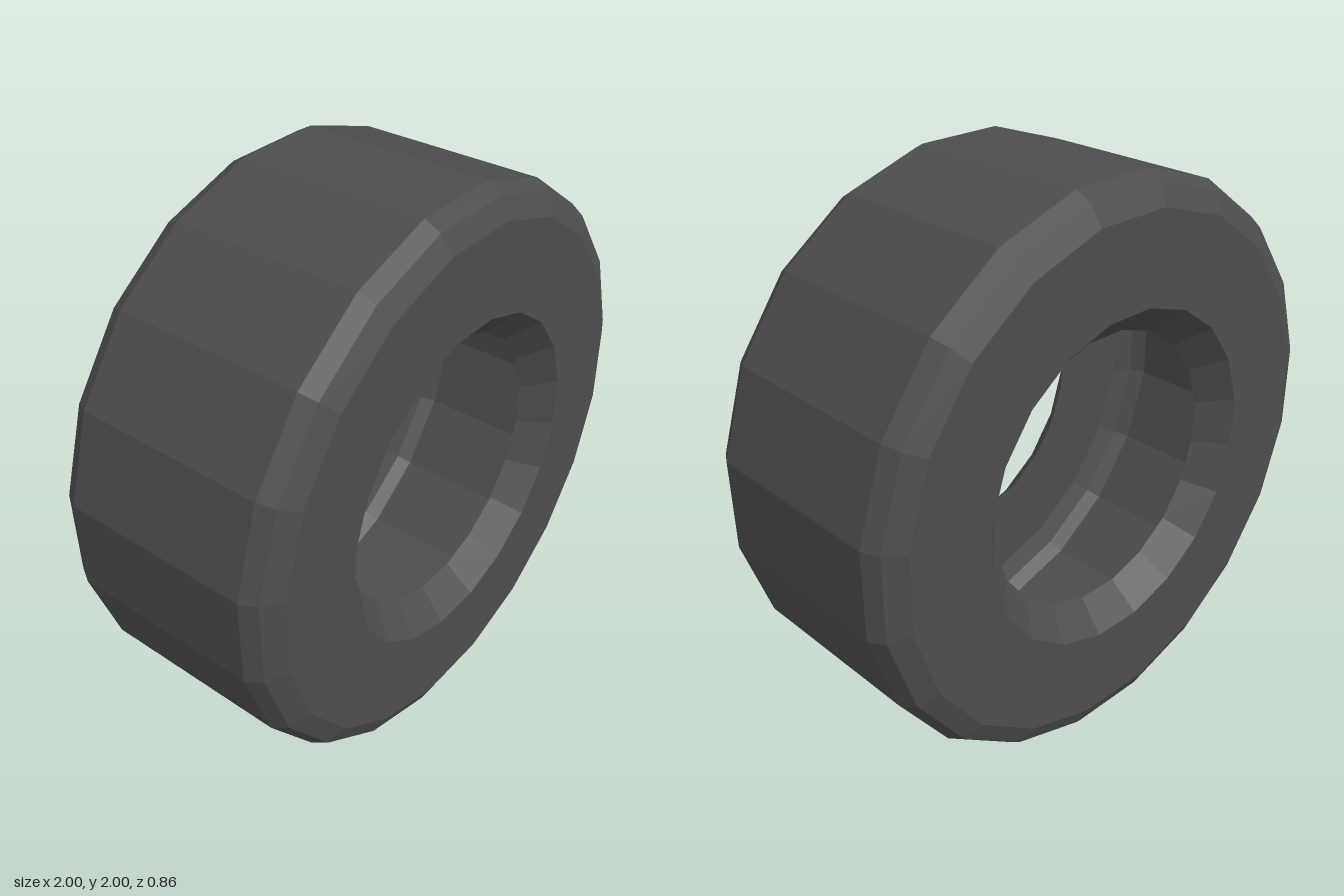
import * as THREE from 'three';

const SIDES = 20;

export function createModel() {
  const group = new THREE.Group();
  group.name = 'tire';

  // Half of the hollow cross-section: [distance from axle to flat, z]
  const half = [
    [1.0, 0.34], [0.97, 0.395], [0.9, 0.43], // tread shoulder
    [0.587, 0.43], [0.487, 0.33],            // sidewall and sloped rim lip
    [0.8, 0.33], [0.87, 0.3], [0.9, 0.25],   // inside of the hollow
  ];
  const mirrored = half.map(([r, z]) => [r, -z]).reverse();
  const toCorner = 1 / Math.cos(Math.PI / SIDES);
  const profile = [...half, ...mirrored, half[0]]
    .map(([r, z]) => new THREE.Vector2(r * toCorner, z));

  // Flats face straight up, down and sideways
  const geometry = new THREE.LatheGeometry(profile, SIDES, Math.PI / SIDES);
  geometry.rotateX(Math.PI / 2);
  const material = new THREE.MeshStandardMaterial({ color: 0x4d4d4d, flatShading: true });
  const tire = new THREE.Mesh(geometry, material);
  tire.name = 'tireShell';
  tire.position.y = 1;
  group.add(tire);
  return group;
}
